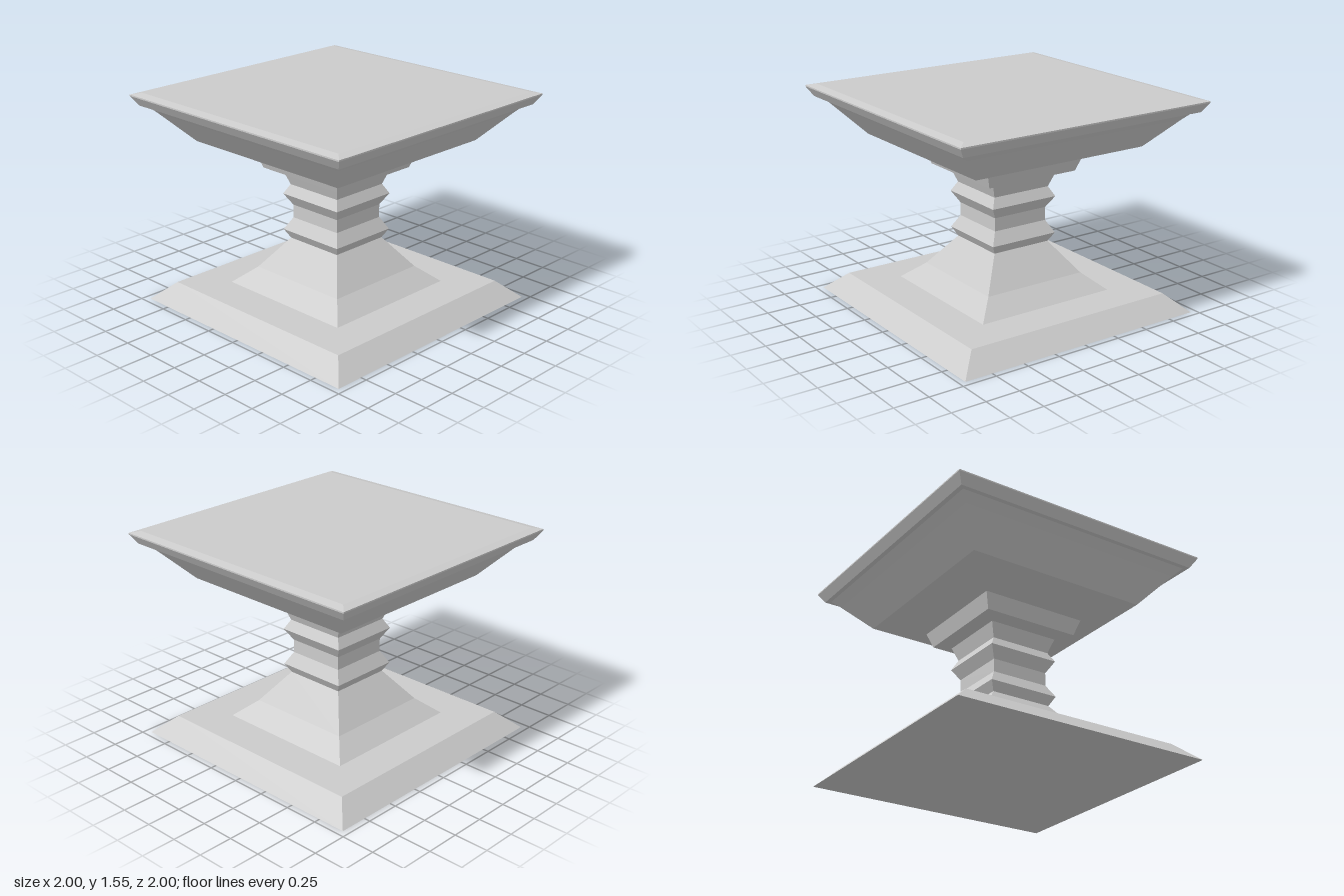
import * as THREE from 'three';

const material = new THREE.MeshStandardMaterial({ color: 0xcccccc, flatShading: true });

// Square turned section: profile is [half width, height], from bottom to top
function squareSection(name, profile) {
  const points = profile.map(([half, y]) => new THREE.Vector2(half * Math.SQRT2, y));
  const geometry = new THREE.LatheGeometry(points, 4, Math.PI / 4);
  const mesh = new THREE.Mesh(geometry, material);
  mesh.name = name;
  return mesh;
}

export function createModel() {
  const model = new THREE.Group();
  model.name = 'squarePedestal';

  model.add(
    // Sloped plinth, closed underneath
    squareSection('plinth', [[0, 0], [0.955, 0], [0.812, 0.13], [0.535, 0.13]]),
    // Flared foot
    squareSection('foot', [[0.535, 0.13], [0.397, 0.25], [0.228, 0.474]]),
    // Narrow shaft with two pointed collars
    squareSection('shaft', [
      [0.228, 0.474], [0.265, 0.54], [0.215, 0.63], [0.215, 0.726],
      [0.265, 0.81], [0.227, 0.88], [0.264, 0.982],
    ]),
    // Stepped neck below the top
    squareSection('neck', [[0.264, 0.982], [0.36, 1.004], [0.398, 1.114]]),
    // Wide flaring underside of the top
    squareSection('flare', [[0.398, 1.114], [0.684, 1.2], [0.866, 1.4], [0.922, 1.457]]),
    // Bevelled slab, closed on top
    squareSection('topSlab', [[0.922, 1.457], [0.956, 1.457], [1, 1.525], [1, 1.535], [0.94, 1.548], [0, 1.548]]),
  );
  return model;
}
